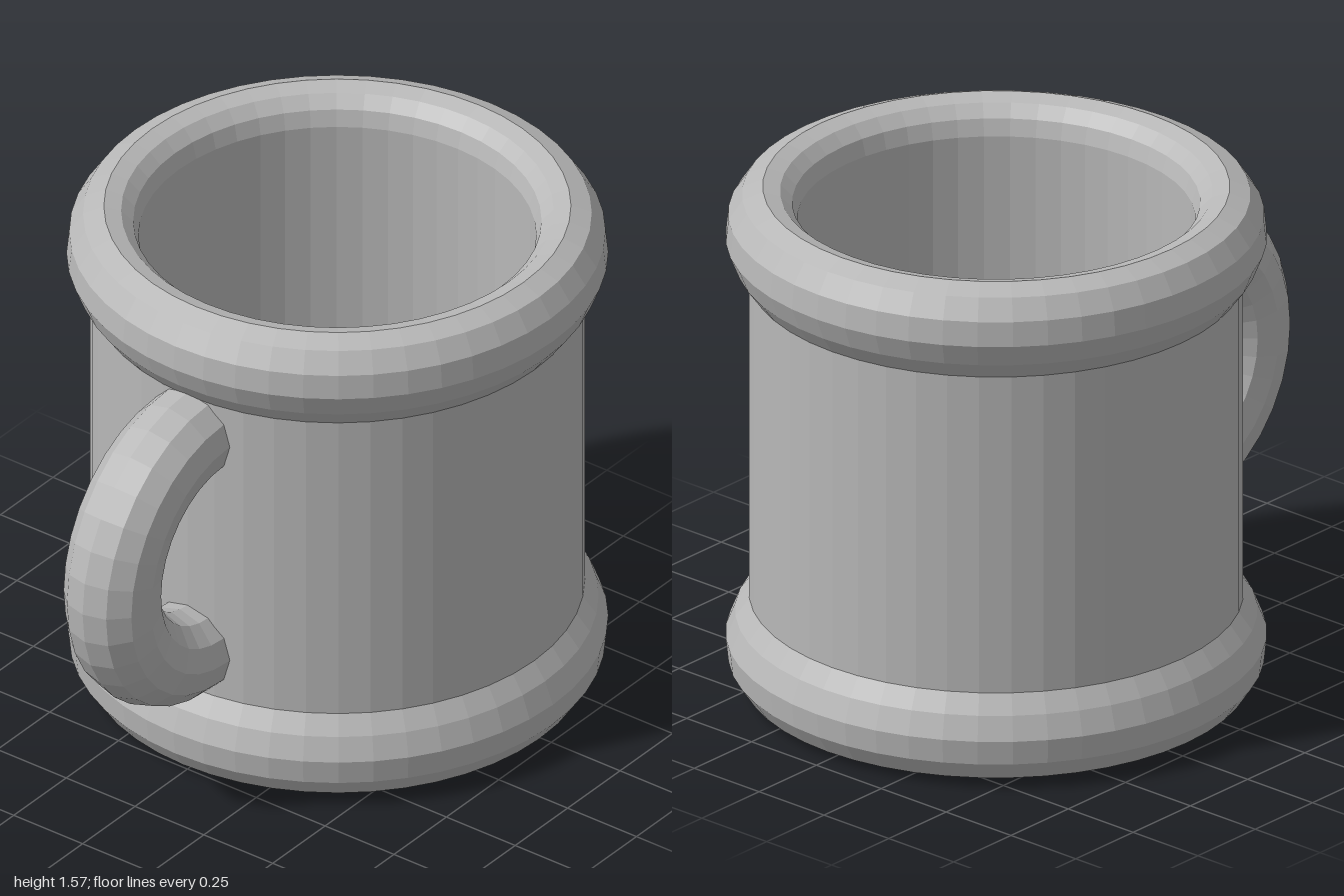
import * as THREE from 'three';

const HEIGHT = 1.57;
const BODY_Z = -0.215;

export function createModel() {
  const clay = new THREE.MeshStandardMaterial({ color: 0xb8b8b8, flatShading: true });
  clay.name = 'grey clay';
  const mug = new THREE.Group();
  mug.name = 'mug';

  const add = (name, geometry, z) => {
    const mesh = new THREE.Mesh(geometry, clay);
    mesh.name = name;
    mesh.position.z = z;
    mug.add(mesh);
    return mesh;
  };
  const lathe = (points) =>
    new THREE.LatheGeometry(points.map(([r, y]) => new THREE.Vector2(r, y)), 48);

  // Rounded bottom band, from the inner edge round to the outer wall
  const band = [
    [0.575, 0.1], [0.59, 0.05], [0.625, 0.015], [0.675, 0], [0.735, 0.025],
    [0.775, 0.085], [0.783, 0.16], [0.755, 0.23], [0.715, 0.285],
  ];
  // The top band mirrors the bottom one
  const rim = band.map(([r, y]) => [r, HEIGHT - y]).reverse();

  add('bottomBand', lathe(band), BODY_Z);
  add('topBand', lathe(rim), BODY_Z);
  add('outerWall', lathe([[0.715, 0.285], [0.715, HEIGHT - 0.285]]), BODY_Z);
  // The wall is a sleeve, open at both ends
  add('innerWall', lathe([[0.575, HEIGHT - 0.1], [0.575, 0.1]]), BODY_Z);

  // Half-ring handle on the front, its ends sunk into the wall
  const overlap = 0.2;
  const ring = new THREE.TorusGeometry(0.367, 0.142, 12, 18, Math.PI + 2 * overlap);
  ring.rotateZ(-Math.PI / 2 - overlap);
  ring.rotateY(-Math.PI / 2);
  add('handle', ring, 0.491).position.y = 0.788;

  return mug;
}
